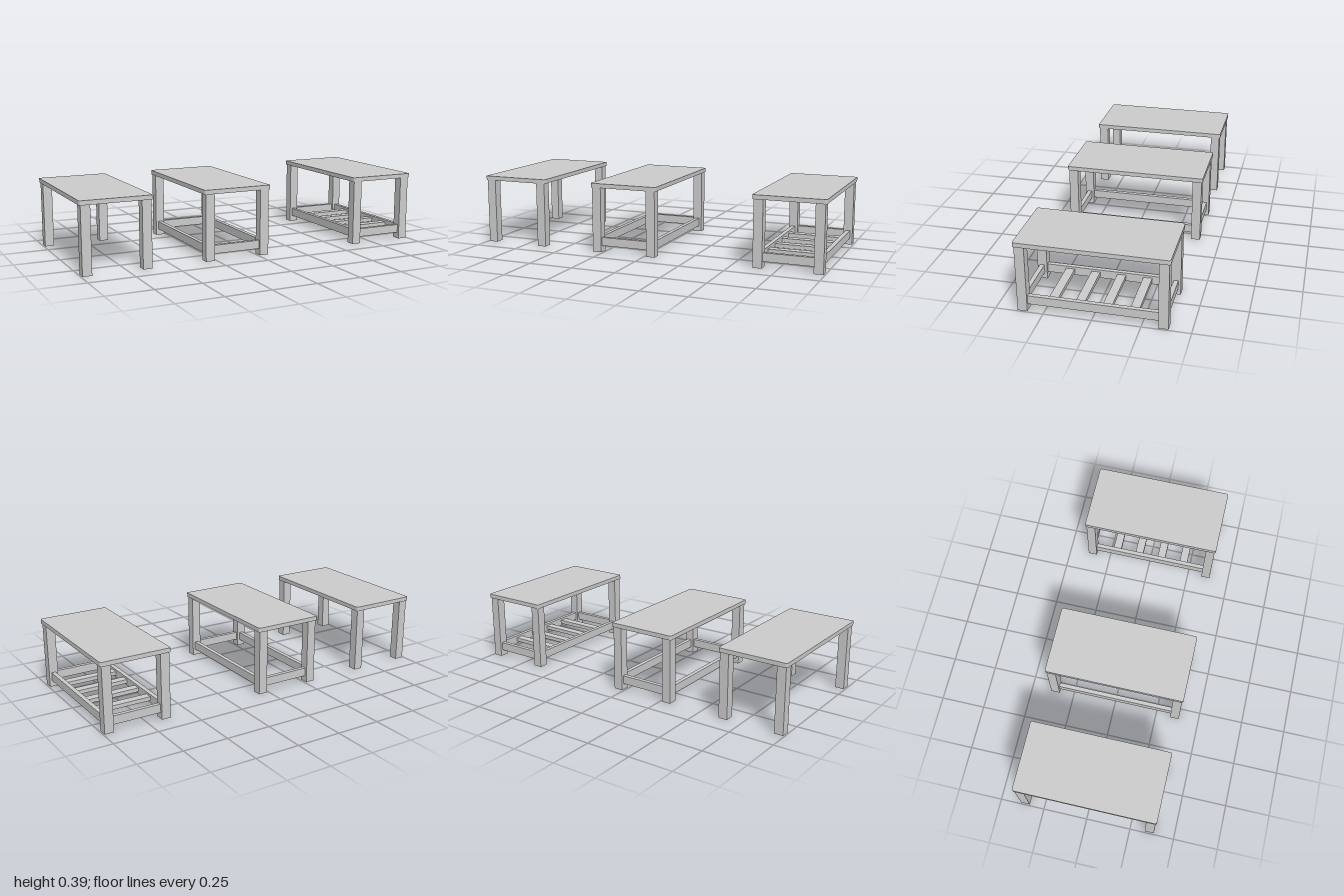
import * as THREE from 'three';

const material = new THREE.MeshStandardMaterial({ color: 0xcccccc, flatShading: true });

function box(parent, name, w, h, d, x, y, z) {
  const mesh = new THREE.Mesh(new THREE.BoxGeometry(w, h, d), material);
  mesh.name = name;
  mesh.position.set(x, y, z);
  parent.add(mesh);
}

// Flat slab with slightly rounded vertical corners
function tableTop(w, d, h, r) {
  const x = w / 2, y = d / 2;
  const s = new THREE.Shape();
  s.moveTo(-x + r, -y);
  s.lineTo(x - r, -y);
  s.quadraticCurveTo(x, -y, x, -y + r);
  s.lineTo(x, y - r);
  s.quadraticCurveTo(x, y, x - r, y);
  s.lineTo(-x + r, y);
  s.quadraticCurveTo(-x, y, -x, y - r);
  s.lineTo(-x, -y + r);
  s.quadraticCurveTo(-x, -y, -x + r, -y);
  const geo = new THREE.ExtrudeGeometry(s, { depth: h, bevelEnabled: false, curveSegments: 4 });
  return geo.rotateX(-Math.PI / 2);
}

function createTable(name, hasRails, slatCount) {
  const table = new THREE.Group();
  table.name = name;
  const legX = 0.162, legZ = 0.36, leg = 0.051, underside = 0.364;

  const top = new THREE.Mesh(tableTop(0.39, 0.784, 0.024, 0.012), material);
  top.name = 'tableTop';
  top.position.y = underside;
  table.add(top);

  for (const sx of [-1, 1]) for (const sz of [-1, 1])
    box(table, 'leg', leg, underside, leg, sx * legX, underside / 2, sz * legZ);

  // Low stretchers between the legs
  const railH = 0.047, railT = 0.024, railY = 0.0585;
  if (hasRails) for (const s of [-1, 1]) {
    box(table, 'sideRail', railT, railH, 2 * legZ - leg, s * legX, railY, 0);
    box(table, 'endRail', 2 * legX - leg, railH, railT, 0, railY, s * legZ);
  }

  // Shelf slats spanning the side rails
  const pitch = (2 * legZ - railT) / (slatCount + 1);
  for (let i = 0; i < slatCount; i++)
    box(table, 'shelfSlat', 2 * legX - railT, 0.022, 0.047, 0, railY, (i - (slatCount - 1) / 2) * pitch);
  return table;
}

export function createModel() {
  const model = new THREE.Group();
  model.name = 'tableSet';
  const plain = createTable('plainTable', false, 0);
  const railed = createTable('railedTable', true, 0);
  const slatted = createTable('slattedShelfTable', true, 4);
  plain.position.x = -0.805;
  railed.position.x = -0.125;
  slatted.position.x = 0.805;
  model.add(plain, railed, slatted);
  return model;
}
